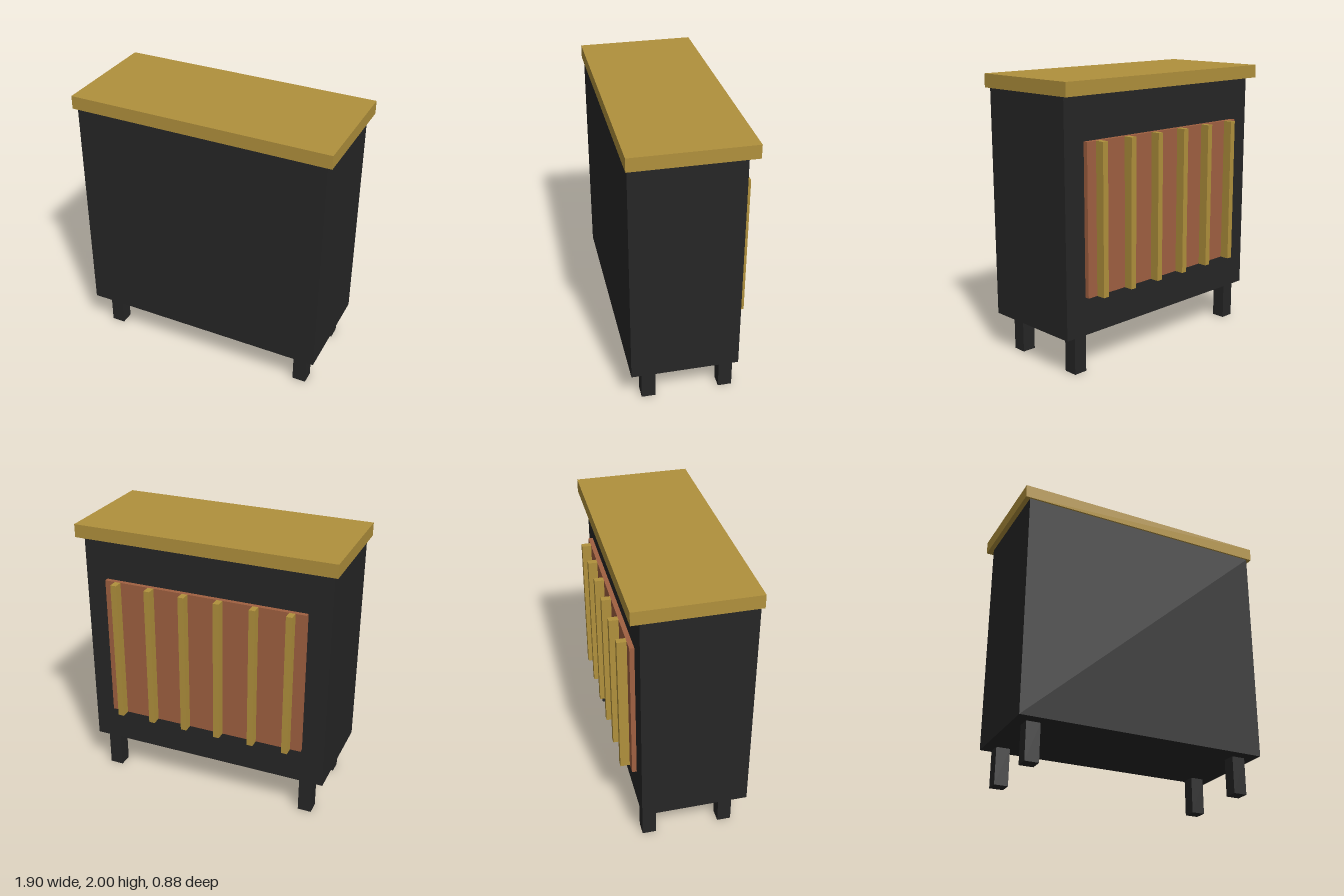
import * as THREE from 'three';

const black = new THREE.MeshStandardMaterial({ color: 0x262626 });
const wood = new THREE.MeshStandardMaterial({ color: 0xb0903c });
const backing = new THREE.MeshStandardMaterial({ color: 0xa06041 });

// Box given by its extents along each axis
function box(name, material, [x0, x1], [y0, y1], [z0, z1]) {
  const mesh = new THREE.Mesh(new THREE.BoxGeometry(x1 - x0, y1 - y0, z1 - z0), material);
  mesh.position.set((x0 + x1) / 2, (y0 + y1) / 2, (z0 + z1) / 2);
  mesh.name = name;
  return mesh;
}

export function createModel() {
  const model = new THREE.Group();
  model.name = 'counter';

  // Cabinet and overhanging top
  model.add(box('cabinetBody', black, [-0.915, 0.915], [0.27, 1.905], [-0.34, 0.428]));
  model.add(box('counterTop', wood, [-0.95, 0.95], [1.905, 2], [-0.405, 0.44]));

  // Four square legs
  for (const [side, x] of [['Left', 0.785], ['Right', -0.785]]) {
    for (const [end, z] of [['front', 0.293], ['back', -0.272]]) {
      model.add(box(`${end}${side}Leg`, black, [x - 0.05, x + 0.05], [0, 0.27], [z - 0.05, z + 0.05]));
    }
  }

  // Back panel with six upright slats
  const height = [0.54, 1.6];
  model.add(box('backPanel', backing, [-0.75, 0.75], height, [-0.373, -0.34]));
  const slats = new THREE.Group();
  slats.name = 'slats';
  for (let i = 0; i < 6; i++) {
    const x = -0.65 + i * 0.26;
    slats.add(box(`slat${i + 1}`, wood, [x - 0.022, x + 0.022], height, [-0.44, -0.373]));
  }
  model.add(slats);

  return model;
}
